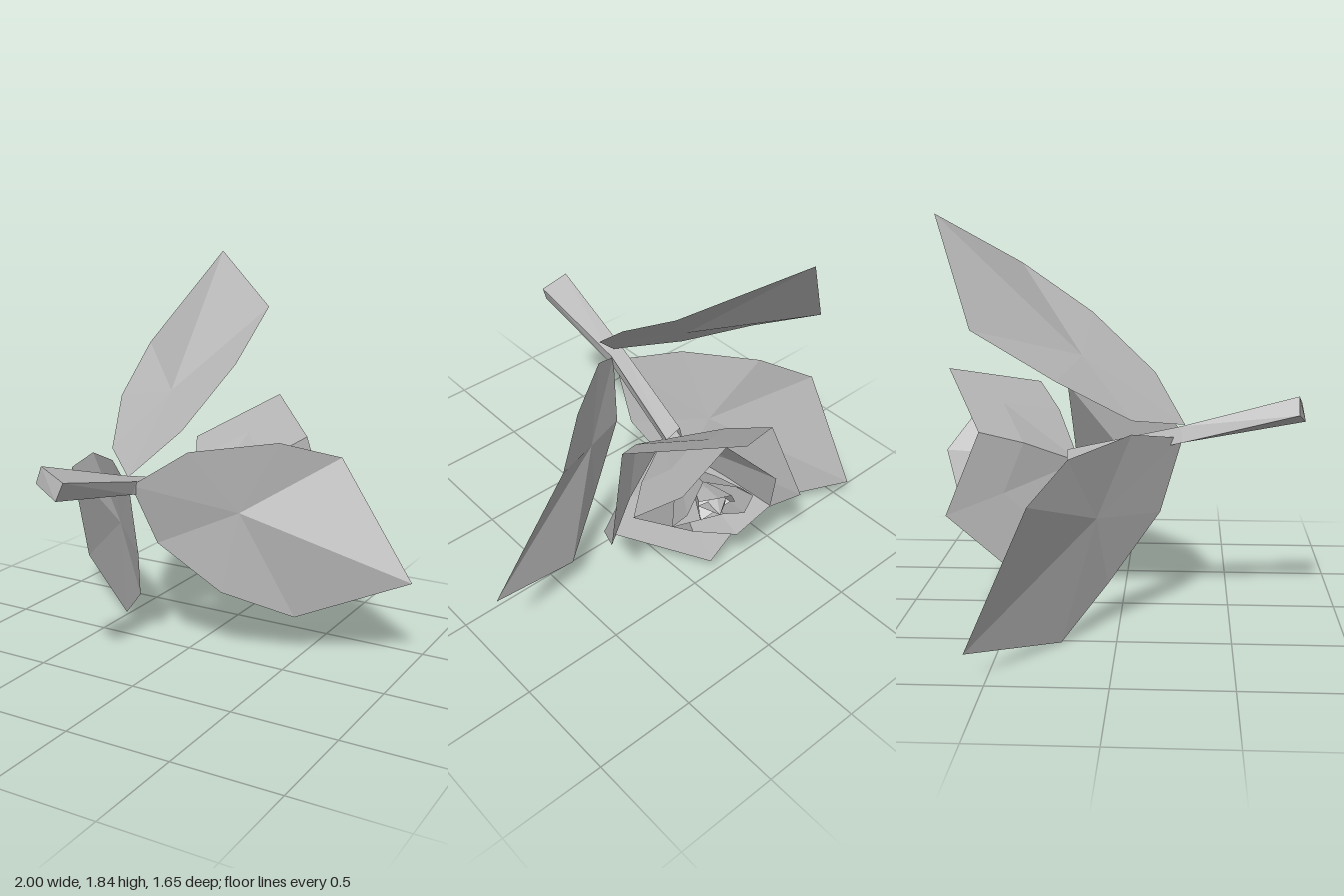
import * as THREE from 'three';

const grey = new THREE.MeshStandardMaterial({ color: 0xb6b6b6, flatShading: true, side: THREE.DoubleSide });
grey.name = 'plain grey';

const V = (p) => new THREE.Vector3(...p);

// Faceted mesh from a list of triangles
function facets(name, tris) {
  const g = new THREE.BufferGeometry().setFromPoints(tris.flat());
  g.computeVertexNormals();
  const m = new THREE.Mesh(g, grey);
  m.name = name;
  return m;
}

// Closed fan around one point
const fan = (c, ring) => ring.map((p, i) => [c, p, ring[(i + 1) % ring.length]]);

// Band of quads between two rings
const band = (a, b) => a.flatMap((p, i) => {
  const j = (i + 1) % a.length;
  return [[p, a[j], b[j]], [p, b[j], b[i]]];
});

// Cup of petals that narrows from its rim to a base point
function cup(name, rim, base, t = 0.55, bulge = 1.12) {
  const c = rim.reduce((s, p) => s.add(p), new THREE.Vector3()).divideScalar(rim.length);
  const axis = base.clone().lerp(c, t);
  const mid = rim.map((p) => base.clone().lerp(p, t).sub(axis).multiplyScalar(bulge).add(axis));
  return facets(name, [...fan(base, mid), ...band(mid, rim)]);
}

export function createModel() {
  const model = new THREE.Group();
  model.name = 'cut flower';

  // Square stem, from the cut end back into the flower
  const cutEnd = [[-0.25, 1.05, 0.79], [-0.12, 1.0, 0.815], [-0.15, 0.92, 0.83], [-0.28, 0.97, 0.79]].map(V);
  const middle = [[-0.19, 0.9, 0.27], [-0.12, 0.88, 0.27], [-0.13, 0.82, 0.28], [-0.21, 0.83, 0.28]].map(V);
  const flowerEnd = [[-0.1, 0.77, -0.25], [-0.02, 0.74, -0.25], [-0.04, 0.67, -0.25], [-0.12, 0.69, -0.25]].map(V);
  model.add(facets('stem', [
    [cutEnd[0], cutEnd[1], cutEnd[2]], [cutEnd[0], cutEnd[2], cutEnd[3]],
    ...band(cutEnd, middle), ...band(middle, flowerEnd),
  ]));

  // Three folded leaves: crease point first, then the outline from the base
  const leaves = {
    upperLeaf: [[-0.2, 1.22, -0.17], [-0.15, 0.9, 0.29], [0.05, 1.11, 0.15], [0.16, 1.38, -0.15], [0.16, 1.61, -0.48],
      [-0.27, 1.84, -0.8], [-0.59, 1.37, -0.6], [-0.54, 1.15, -0.25], [-0.39, 0.96, 0.06]],
    leftLeaf: [[0.25, 0.71, -0.03], [-0.14, 0.86, 0.28], [0.07, 1.01, 0.13], [0.4, 1.04, -0.13], [0.63, 0.96, -0.32],
      [1.0, 0.42, -0.3], [0.48, 0.2, -0.16], [0.19, 0.33, 0.03], [-0.07, 0.57, 0.17]],
    rightLeaf: [[-0.45, 0.54, -0.09], [-0.15, 0.84, 0.28], [-0.39, 0.9, 0.06], [-0.68, 0.85, -0.19], [-0.92, 0.71, -0.33],
      [-1.0, 0.13, -0.58], [-0.52, 0.0, -0.24], [-0.31, 0.2, -0.05], [-0.17, 0.5, 0.18]],
  };
  for (const [name, pts] of Object.entries(leaves)) {
    const [crease, ...outline] = pts.map(V);
    model.add(facets(name, fan(crease, outline)));
  }

  // Outer and middle petals
  const base = V([-0.04, 0.7, -0.2]);
  const outerRim = [[0.4, 1.01, -0.43], [0.06, 1.12, -0.82], [-0.32, 0.89, -0.62], [-0.4, 0.53, -0.76],
    [-0.3, 0.28, -0.52], [-0.09, 0.1, -0.51], [0.32, 0.33, -0.2], [0.51, 0.59, -0.49]].map(V);
  const middleRim = [[0.25, 0.83, -0.65], [0.0, 0.97, -0.65], [-0.18, 0.78, -0.79], [-0.24, 0.53, -0.72],
    [-0.12, 0.36, -0.64], [-0.02, 0.3, -0.45], [0.37, 0.65, -0.47]].map(V);
  const flower = new THREE.Group();
  flower.name = 'flower';
  flower.add(cup('outerPetals', outerRim, base), cup('middlePetals', middleRim, base));

  // Inner petals: smaller, twisted copies of the middle rim
  const heart = V([0.03, 0.64, -0.62]);
  const axis = V([0.13, -0.08, -0.42]).normalize();
  [[0.58, 0.5], [0.3, 1.1]].forEach(([scale, twist], i) => {
    const rim = middleRim.map((p) => p.clone().sub(heart).multiplyScalar(scale).applyAxisAngle(axis, twist)
      .add(heart).addScaledVector(axis, 0.02));
    flower.add(cup('innerPetals' + (i + 1), rim, base.clone().lerp(heart, 0.4 + 0.2 * i)));
  });

  // Pointed bud in the middle
  const budRing = middleRim.map((p) => p.clone().sub(heart).multiplyScalar(0.2).add(heart));
  flower.add(facets('bud', fan(heart.clone().addScaledVector(axis, 0.07), budRing)));
  model.add(flower);
  return model;
}
